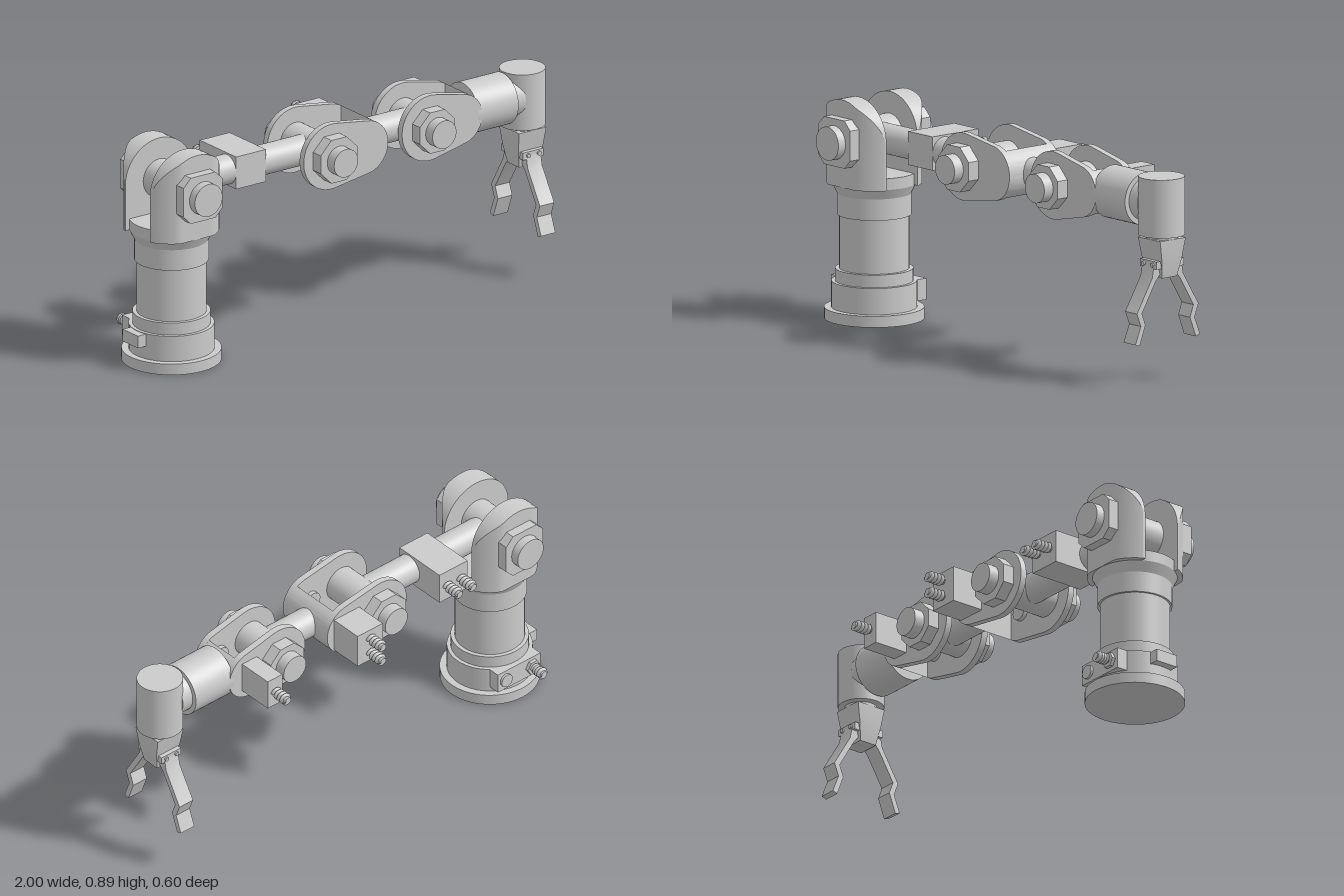
import * as THREE from 'three';
import { toCreasedNormals } from 'three/addons/utils/BufferGeometryUtils.js';

const mat = new THREE.MeshStandardMaterial({ color: 0xcccccc });
const AXIS_Y = 0.725; // height of the arm's centre line

function add(parent, name, geo) {
  const mesh = new THREE.Mesh(geo, mat);
  mesh.name = name;
  parent.add(mesh);
  return mesh;
}

// Box given by its minimum and maximum corners
function box(parent, name, [x0, y0, z0], [x1, y1, z1]) {
  const geo = new THREE.BoxGeometry(x1 - x0, y1 - y0, z1 - z0);
  geo.translate((x0 + x1) / 2, (y0 + y1) / 2, (z0 + z1) / 2);
  return add(parent, name, geo);
}

// Cylinder from a to b along an axis; c holds the two other coordinates in xyz order
function cyl(parent, name, axis, r, a, b, c, sides = 40) {
  const geo = new THREE.CylinderGeometry(r, r, b - a, sides);
  if (sides < 12) geo.rotateY(Math.PI / sides);
  const m = (a + b) / 2;
  if (axis === 'x') geo.rotateZ(-Math.PI / 2).translate(m, c[0], c[1]);
  else if (axis === 'y') geo.translate(c[0], m, c[1]);
  else geo.rotateX(Math.PI / 2).translate(c[0], c[1], m);
  return add(parent, name, sides < 12 ? toCreasedNormals(geo, 0.3) : geo);
}

function extrude(shape, z0, z1) {
  const geo = new THREE.ExtrudeGeometry(shape, { depth: z1 - z0, bevelEnabled: false, curveSegments: 24 });
  return toCreasedNormals(geo.translate(0, 0, z0), 0.5);
}

// Solid skinned over four-cornered sections
function loft(sections) {
  const tris = [];
  const quad = (a, b, c, d) => tris.push(...a, ...b, ...c, ...a, ...c, ...d);
  for (let i = 0; i < sections.length - 1; i++) {
    const s = sections[i], t = sections[i + 1];
    for (let k = 0; k < 4; k++) {
      const n = (k + 1) % 4;
      quad(s[k], t[k], t[n], s[n]);
    }
  }
  const [a, b, c, d] = sections[0], [e, f, g, h] = sections.at(-1);
  quad(a, b, c, d);
  quad(h, g, f, e);
  const geo = new THREE.BufferGeometry();
  geo.setAttribute('position', new THREE.Float32BufferAttribute(tris, 3));
  return toCreasedNormals(geo, 0.5);
}

// Ribbed cable plug pointing to -z
function plug(parent, x, y, z, length = 0.08) {
  cyl(parent, 'plugCore', 'z', 0.014, z - length, z, [x, y], 16);
  const pts = [];
  for (let i = 0; i <= 48; i++) {
    const t = i / 48, a = t * Math.PI * 8;
    pts.push(new THREE.Vector3(x + 0.016 * Math.cos(a), y + 0.016 * Math.sin(a), z - 0.006 - t * (length - 0.012)));
  }
  add(parent, 'plugCoil', new THREE.TubeGeometry(new THREE.CatmullRomCurve3(pts), 96, 0.008, 6));
}

function buildBase(g) {
  const x = -0.8;
  for (const [name, r, y0, y1] of [
    ['baseFlange', 0.196, 0, 0.045], ['baseDrum', 0.168, 0.045, 0.15], ['baseCollar', 0.153, 0.15, 0.2],
    ['column', 0.137, 0.19, 0.42], ['columnCap', 0.146, 0.415, 0.5], ['shoulderBody', 0.166, 0.54, 0.585],
  ]) cyl(g, name, 'y', r, y0, y1, [x, 0], 56);
  const chamfer = new THREE.CylinderGeometry(0.166, 0.146, 0.04, 56, 1, true);
  add(g, 'shoulderChamfer', chamfer.translate(x, 0.52, 0));

  // Rear socket block, its round socket, the cable plug and the side box
  box(g, 'socketBlock', [-0.91, 0.065, -0.175], [-0.69, 0.15, -0.1]);
  cyl(g, 'roundSocket', 'z', 0.028, -0.185, -0.17, [-0.73, 0.108], 24);
  cyl(g, 'plugCollar', 'z', 0.032, -0.19, -0.17, [-0.865, 0.108], 6);
  plug(g, -0.865, 0.108, -0.19, 0.06);
  box(g, 'sideSocket', [-1, 0.098, -0.05], [-0.94, 0.148, 0.05]);
}

function buildShoulder(g) {
  const x = -0.8;
  // Arched fork cheeks with a flat face and curved flanks
  const sections = [];
  for (let i = 0; i <= 28; i++) {
    const dx = -0.165 * Math.cos((i / 28) * Math.PI);
    const top = AXIS_Y + Math.sqrt(Math.max(0, 0.165 ** 2 - dx * dx));
    const out = Math.min(0.168, Math.sqrt(0.187 ** 2 - dx * dx));
    sections.push([[dx, 0.54, 0.08], [dx, 0.54, out], [dx, top, out], [dx, top, 0.08]]);
  }
  const hub = new THREE.Shape();
  const s = 0.095, k = 0.06;
  [[s, -k], [s, k], [k, s], [-k, s], [-s, k], [-s, -k], [-k, -s], [k, -s]].forEach(([a, b], i) =>
    i ? hub.lineTo(a, b) : hub.moveTo(a, b));
  for (const [side, turn] of [['front', 0], ['back', Math.PI]]) {
    const half = new THREE.Group();
    half.name = side + 'ShoulderFork';
    half.position.x = x;
    half.rotation.y = turn;
    g.add(half);
    add(half, 'forkCheek', loft(sections));
    add(half, 'hubPlate', extrude(hub, 0.16, 0.207)).position.y = AXIS_Y;
    cyl(half, 'hubCap', 'z', 0.067, 0.2, 0.243, [0, AXIS_Y]);
  }
  cyl(g, 'shoulderPivot', 'z', 0.078, -0.081, 0.081, [x, AXIS_Y]);
}

// Two side plates joined by a bridge, with hubs and a cross pivot
function buildElbow(g, name, { x, inner, outer, hubR, r2, d }) {
  const e = new THREE.Group();
  e.name = name;
  e.position.set(x, AXIS_Y, 0);
  g.add(e);
  const r1 = 0.135, a = Math.acos((r1 - r2) / d);
  const plate = new THREE.Shape();
  plate.absarc(0, 0, r1, a, 2 * Math.PI - a, false);
  plate.absarc(d, 0, r2, -a, a, false);
  plate.closePath();
  const bridge = new THREE.Shape();
  bridge.absarc(d, 0, r2, -1.02, 1.02, false);
  bridge.closePath();
  add(e, 'bridge', extrude(bridge, -inner, inner));
  cyl(e, 'pivot', 'z', 0.072, -inner, inner, [0, 0]);
  for (const turn of [1, -1]) {
    const span = (u, v) => (turn > 0 ? [u, v] : [-v, -u]);
    add(e, 'sidePlate', extrude(plate, ...span(inner, outer)));
    cyl(e, 'hubPlate', 'z', hubR, ...span(outer, outer + 0.05), [0, 0], 8);
    cyl(e, 'hubCap', 'z', 0.058, ...span(outer + 0.05, outer + 0.095), [0, 0]);
    cyl(e, 'innerBoss', 'z', 0.035, ...span(inner - 0.018, inner), [0.155, 0], 24);
  }
}

function buildArm(g) {
  cyl(g, 'upperArm', 'x', 0.06, -0.78, -0.12, [AXIS_Y, 0]);
  cyl(g, 'forearm', 'x', 0.06, 0.13, 0.38, [AXIS_Y, 0]);

  // Motor boxes with their plugs
  box(g, 'upperArmMotor', [-0.53, 0.658, -0.178], [-0.385, 0.792, 0.06]);
  for (const x of [-0.493, -0.422]) plug(g, x, 0.725, -0.178);
  box(g, 'elbowMotor', [-0.01, 0.652, -0.272], [0.12, 0.798, -0.12]);
  for (const y of [0.69, 0.758]) plug(g, 0.056, y, -0.272);
  box(g, 'wristMotor', [0.495, 0.66, -0.255], [0.57, 0.79, -0.09]);
  plug(g, 0.533, 0.725, -0.255);

  buildElbow(g, 'elbow', { x: -0.12, inner: 0.105, outer: 0.132, hubR: 0.097, r2: 0.11, d: 0.165 });
  buildElbow(g, 'wristJoint', { x: 0.38, inner: 0.075, outer: 0.103, hubR: 0.092, r2: 0.103, d: 0.152 });

  // Wrist roll drum and vertical head
  cyl(g, 'wristDrum', 'x', 0.105, 0.615, 0.81, [AXIS_Y, 0], 48);
  cyl(g, 'wristNeck', 'x', 0.085, 0.8, 0.86, [AXIS_Y, 0]);
  cyl(g, 'head', 'y', 0.091, 0.6, 0.832, [0.906, 0], 48);
}

function buildGripper(g) {
  const grip = new THREE.Group();
  grip.name = 'gripper';
  grip.position.x = 0.908;
  g.add(grip);
  cyl(grip, 'gripperCollar', 'y', 0.064, 0.575, 0.605, [0, 0]);
  // Tapering bracket
  const ring = (y, hx, hz) => [[-hx, y, -hz], [hx, y, -hz], [hx, y, hz], [-hx, y, hz]];
  add(grip, 'gripperBracket', loft([ring(0.435, 0.046, 0.038), ring(0.51, 0.06, 0.052), ring(0.588, 0.066, 0.066)]));

  // Bent finger outline, outer edge then inner edge
  const finger = new THREE.Shape([
    [0.04, 0.5], [0.068, 0.5], [0.08, 0.44], [0.159, 0.308], [0.139, 0.256], [0.167, 0.185], [0.145, 0.178],
    [0.115, 0.258], [0.133, 0.306], [0.062, 0.425], [0.04, 0.45],
  ].map(([z, y]) => new THREE.Vector2(z, y)));
  for (const [side, turn] of [['front', 0], ['back', Math.PI]]) {
    const half = new THREE.Group();
    half.name = side + 'Finger';
    half.rotation.y = turn;
    grip.add(half);
    add(half, 'fingerBlade', extrude(finger, -0.035, 0.035).rotateY(-Math.PI / 2));
    box(half, 'fingerHinge', [-0.05, 0.475, 0.035], [0.05, 0.505, 0.07]);
    for (const x of [-0.026, 0.026]) cyl(half, 'hingeBolt', 'z', 0.009, 0.06, 0.077, [x, 0.49], 12);
  }
}

export function createModel() {
  const model = new THREE.Group();
  model.name = 'robotArm';
  const body = new THREE.Group();
  body.name = 'armAssembly';
  body.position.z = 0.055;
  model.add(body);
  buildBase(body);
  buildShoulder(body);
  buildArm(body);
  buildGripper(body);
  return model;
}
